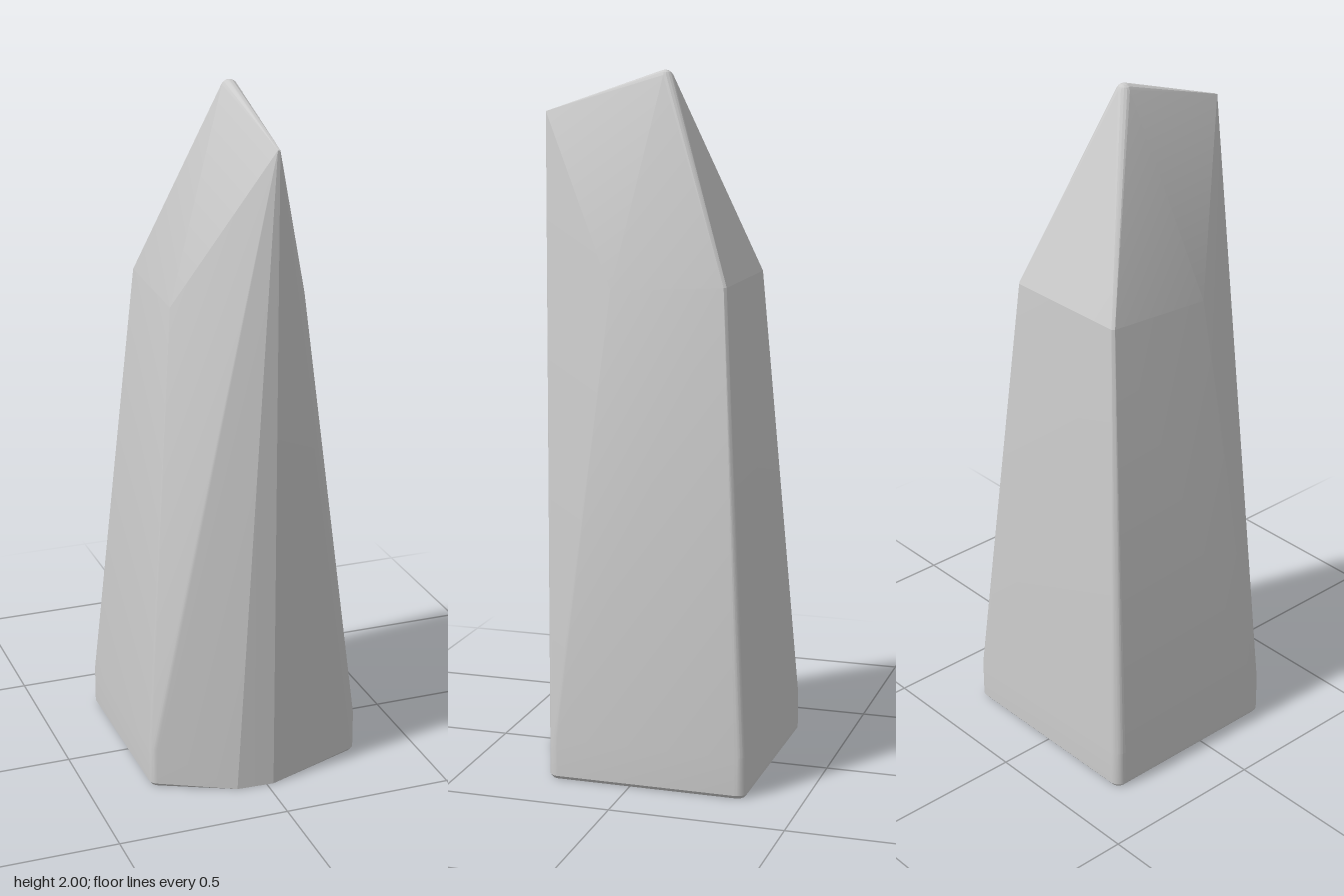
import * as THREE from 'three';
import { ConvexGeometry } from 'three/addons/geometries/ConvexGeometry.js';
import { toCreasedNormals } from 'three/addons/utils/BufferGeometryUtils.js';

export function createModel() {
  const group = new THREE.Group();
  const points = [];
  const add = (x, y, z) => points.push(new THREE.Vector3(x, y, z));

  // Base: upright plinth with rounded corners and a softened lower edge
  const radius = 0.03, steps = 6;
  const corners = [
    { x: 0.32, z: 0.245, from: 0, to: 70 },
    { x: -0.32, z: 0.245, from: 114, to: 180 },
    { x: -0.32, z: -0.34, from: 180, to: 270 },
    { x: 0.32, z: -0.34, from: 270, to: 360 },
  ];
  for (const [y, inset] of [[0, 0.008], [0.01, 0], [0.12, 0]]) {
    for (const c of corners) {
      const cx = c.x - Math.sign(c.x) * radius, cz = c.z - Math.sign(c.z) * radius;
      for (let i = 0; i <= steps; i++) {
        const a = THREE.MathUtils.degToRad(c.from + (c.to - c.from) * i / steps);
        add(cx + (radius - inset) * Math.cos(a), y, cz + (radius - inset) * Math.sin(a));
      }
    }
  }

  // Blunt front edge of the base
  add(-0.09, 0, 0.335);
  add(0.02, 0, 0.34);

  // Shoulders where the tapering sides break towards the peak
  for (const side of [-1, 1]) {
    add(side * 0.2, 1.4, 0.09);
    add(side * 0.2, 1.42, -0.237);
    add(side * 0.193, 1.42, -0.244);
  }

  // Forward tip of the roof ridge
  add(0.017, 1.88, 0.34);
  add(0.024, 1.88, 0.34);

  // Small rounded peak
  for (let j = 0; j <= 4; j++) {
    const tilt = j * Math.PI / 8, r = 0.024 * Math.sin(tilt);
    for (let i = 0; i < (j ? 16 : 1); i++) {
      const a = i * Math.PI / 8;
      add(0.012 + r * Math.cos(a), 1.976 + 0.024 * Math.cos(tilt), -0.012 + r * Math.sin(a));
    }
  }

  const stone = new THREE.Mesh(
    toCreasedNormals(new ConvexGeometry(points), 0.28),
    new THREE.MeshStandardMaterial({ color: 0xcccccc })
  );
  stone.name = 'standingStone';
  group.add(stone);
  return group;
}
